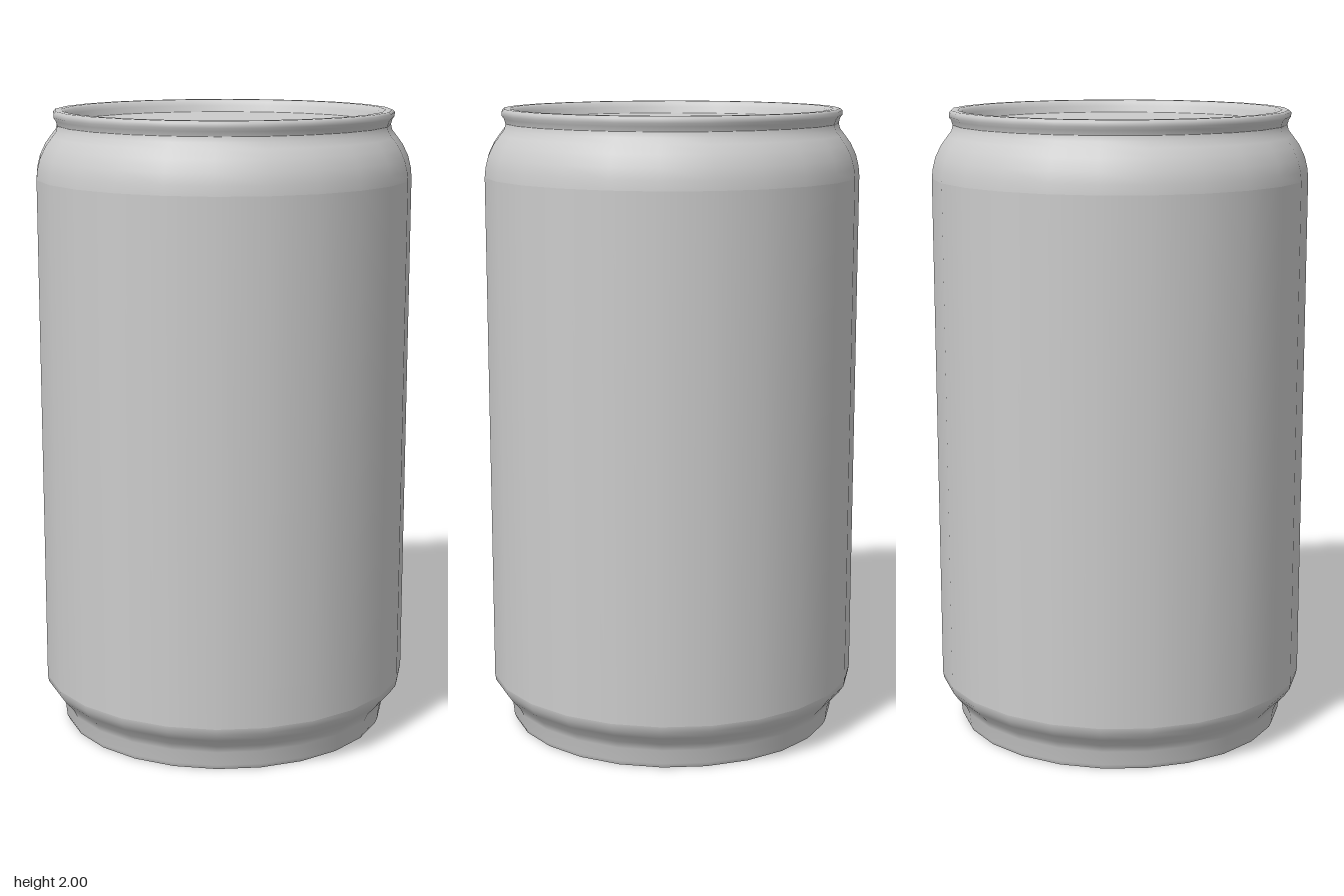
import * as THREE from 'three';

const SIDES = 24;

// Turns a profile of [radius, height] points, listed from bottom to top of the outside.
function turned(name, profile, material) {
  const points = profile.map(([r, y]) => new THREE.Vector2(r, y));
  const mesh = new THREE.Mesh(new THREE.LatheGeometry(points, SIDES), material);
  mesh.name = name;
  return mesh;
}

export function createModel() {
  const group = new THREE.Group();
  group.name = 'can';
  const metal = new THREE.MeshStandardMaterial({ color: 0xcccccc });

  group.add(
    // Flat underside
    turned('base', [[0, 0], [0.525, 0]], metal),
    // Foot flaring out to the straight wall
    turned('foot', [
      [0.525, 0], [0.532, 0.015], [0.537, 0.06], [0.548, 0.085],
      [0.575, 0.115], [0.592, 0.14], [0.595, 0.16],
    ], metal),
    turned('wall', [[0.595, 0.16], [0.595, 1.79]], metal),
    // Shoulder curving in to the neck
    turned('shoulder', [
      [0.595, 1.79], [0.592, 1.82], [0.583, 1.856], [0.565, 1.893],
      [0.545, 1.92], [0.531, 1.938], [0.527, 1.955],
    ], metal),
    // Rolled rim, down to the sunken lid
    turned('rim', [
      [0.527, 1.955], [0.531, 1.97], [0.538, 1.98], [0.538, 1.993],
      [0.531, 2], [0.51, 2], [0.5, 1.993], [0.495, 1.98], [0.488, 1.96],
    ], metal),
    turned('lid', [[0.488, 1.96], [0, 1.96]], metal),
  );
  return group;
}
